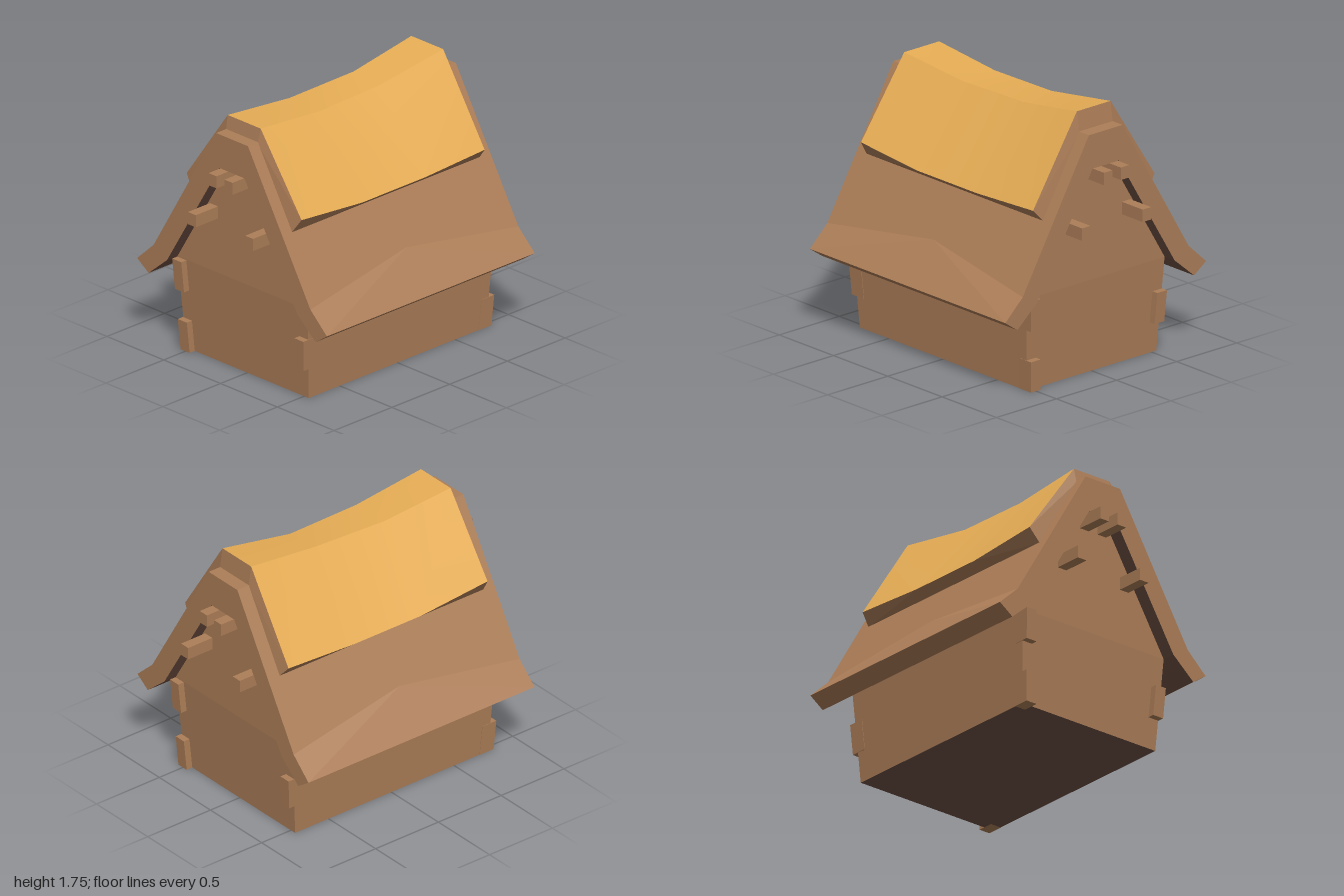
import * as THREE from 'three';
import { toCreasedNormals } from 'three/addons/utils/BufferGeometryUtils.js';

const material = (name, color) => {
  const m = new THREE.MeshStandardMaterial({ color });
  m.name = name;
  return m;
};
const wood = material('brown wood', 0xad7e58);
const thatch = material('golden thatch', 0xe9af56);
const darkWood = material('dark underside', 0x6f5044);

// Flat-faced loft through closed rings, front to back, each counter-clockwise
// seen from +z. Caps join point i with its partner n-1-i.
function loft(rings, segments, caps) {
  const pos = [];
  // Split each quad along the diagonal that bulges outward
  const quad = (...corners) => {
    const [a, b, c, d] = corners.map((p) => new THREE.Vector3(...p));
    const ab = b.clone().sub(a), ac = c.clone().sub(a), ad = d.clone().sub(a);
    const split = ab.cross(ac).dot(ad) < 1e-6 ? [a, b, c, a, c, d] : [a, b, d, b, c, d];
    for (const p of split) pos.push(p.x, p.y, p.z);
  };
  const n = rings[0].length;
  for (let k = 0; k < rings.length - 1; k++) {
    const f = rings[k], b = rings[k + 1];
    for (const i of segments) {
      const j = (i + 1) % n;
      quad(f[i], b[i], b[j], f[j]);
    }
  }
  if (caps) {
    const f = rings[0], b = rings[rings.length - 1];
    for (let i = 0; i < n / 2 - 1; i++) {
      quad(f[i], f[i + 1], f[n - 2 - i], f[n - 1 - i]);
      quad(b[n - 1 - i], b[n - 2 - i], b[i + 1], b[i]);
    }
  }
  const g = new THREE.BufferGeometry();
  g.setAttribute('position', new THREE.Float32BufferAttribute(pos, 3));
  g.computeVertexNormals();
  return g;
}

// Right half of a profile followed by its mirror image
const mirrored = (half) => [...half, ...half.slice().reverse().map(([x, y, z]) => [-x, y, z])];

export function createModel() {
  const model = new THREE.Group();
  model.name = 'cottage';
  const add = (name, geometry, mat = wood) => {
    const mesh = new THREE.Mesh(geometry, mat);
    mesh.name = name;
    model.add(mesh);
    return mesh;
  };

  // Walls flare outward up to the eaves, then rise as upright gables
  const wallRings = [1, -1].map((s) => mirrored([
    [0.54, 0, 0.767 * s], [0.573, 0.62, 0.808 * s], [0.11, 1.39, 0.808 * s],
  ]));
  add('walls', loft(wallRings, [0, 1, 2, 3, 4], true));
  add('floor', loft(wallRings, [5], false), darkWood);

  // Main roof: the eave crease climbs the slope towards the middle
  const roofRing = (z, cx, cy) => {
    const outer = mirrored([[0.835, 0.552, z], [cx, cy, z], [0.14, 1.617, z]]);
    const inner = mirrored([[0.735, 0.482, z], [0.573, 0.62, z], [0.11, 1.39, z]]);
    return [...outer, ...inner.reverse()];
  };
  const roofRings = [roofRing(0.9, 0.69, 0.687), roofRing(0, 0.62, 0.805), roofRing(-0.9, 0.69, 0.687)];
  add('roof', loft(roofRings, [0, 1, 2, 3, 4, 5, 11], true));
  add('roofUnderside', loft(roofRings, [6, 7, 8, 9, 10], false), darkWood);

  // Sagging ridge cap: [z, base z, edge y, ridge half width, right ridge y, left ridge y]
  const capRings = [
    [0.795, 0.815, 1.2, 0.145, 1.705, 1.705],
    [0.27, 0.27, 1.155, 0.133, 1.655, 1.66],
    [-0.27, -0.27, 1.155, 0.118, 1.66, 1.675],
    [-0.79, -0.81, 1.18, 0.14, 1.745, 1.745],
  ].map(([z, bz, edge, w, right, left]) => [
    [0.505, edge, z], [w, right, z], [-w, left, z], [-0.505, edge, z],
    [-0.44, 1.104, bz], [-0.14, 1.607, bz], [0.14, 1.607, bz], [0.44, 1.104, bz],
  ]);
  add('ridgeThatch', toCreasedNormals(loft(capRings, [0, 1, 2], false), 0.35), thatch);
  add('ridgeCapTrim', loft(capRings, [3, 4, 5, 6, 7], true));

  // Leaning corner blocks, alternating between corners
  const cornerBlock = (sx, sz, level) => {
    const g = new THREE.BoxGeometry(0.08, 0.205, 0.11);
    g.translate(sx * 0.503, 0.1025 + level * 0.205, sz * 0.757);
    const p = g.attributes.position;
    for (let i = 0; i < p.count; i++) {
      const y = p.getY(i);
      p.setX(i, p.getX(i) + sx * y * 0.054);
      p.setZ(i, p.getZ(i) + sz * y * 0.065);
    }
    g.computeVertexNormals();
    add('cornerBlock', g);
  };
  for (const s of [1, -1]) {
    cornerBlock(s, s, 1);
    cornerBlock(-s, s, 0);
    cornerBlock(-s, s, 2);
  }

  // Beam ends poking out of both gables
  for (const sz of [1, -1]) {
    for (const sx of [1, -1]) {
      for (const [x, y] of [[0.07, 1.348], [0.252, 1.027]]) {
        add('beamEnd', new THREE.BoxGeometry(0.07, 0.082, 0.25)).position.set(sx * x, y, sz * 0.875);
      }
    }
  }
  return model;
}
